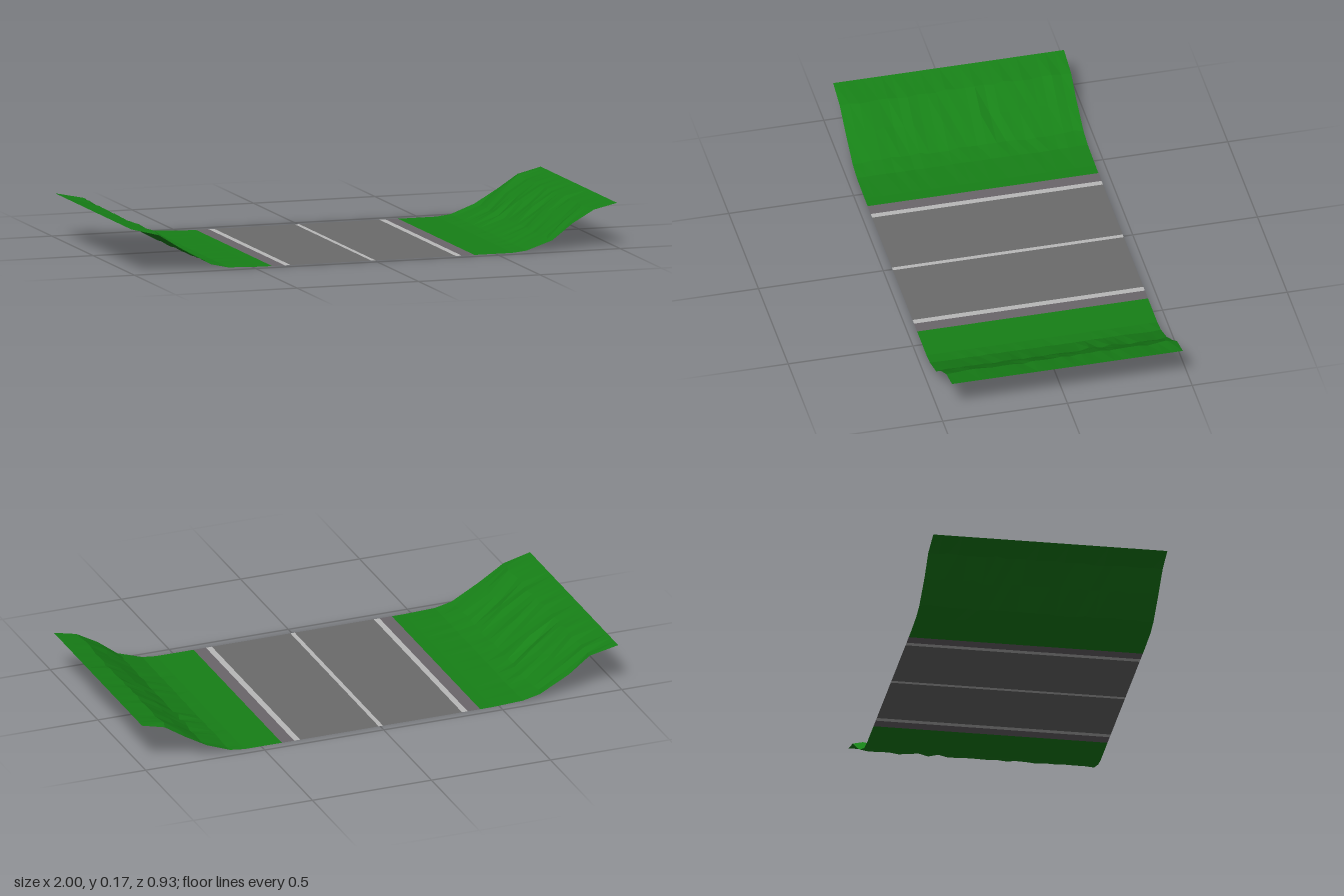
import * as THREE from 'three';

const LENGTH = 0.925;

// Small seeded generator for the uneven ground
function seeded(seed) {
  let s = seed;
  return () => {
    s = (s * 16807) % 2147483647;
    return s / 2147483647 - 0.5;
  };
}

// Sheet along z whose cross-section is a list of [x, y, unevenness]
function sheet(name, profile, color, rows = 1, seed = 1) {
  const n = profile.length;
  const rand = seeded(seed);
  const geo = new THREE.PlaneGeometry(1, LENGTH, n - 1, rows).rotateX(-Math.PI / 2);
  const pos = geo.attributes.position;
  for (let i = 0; i < pos.count; i++) {
    const [x, y, rough = 0] = profile[i % n];
    pos.setX(i, x + rand() * rough);
    pos.setY(i, Math.max(0, y + rand() * rough * 0.5));
  }
  geo.computeVertexNormals();
  const mesh = new THREE.Mesh(geo, new THREE.MeshStandardMaterial({
    color, flatShading: true, side: THREE.DoubleSide,
  }));
  mesh.name = name;
  return mesh;
}

export function createModel() {
  const group = new THREE.Group();
  group.name = 'roadSection';

  // Flat road: shoulders, painted lines and lanes side by side
  const asphalt = 0x6b6b6b, shoulder = 0x6a666a, paint = 0xb8b8b8;
  const strips = [
    ['rightShoulder', -0.42, -0.368, shoulder],
    ['rightEdgeLine', -0.368, -0.344, paint],
    ['rightLane', -0.344, -0.012, asphalt],
    ['centreLine', -0.012, 0.006, paint],
    ['leftLane', 0.006, 0.336, asphalt],
    ['leftEdgeLine', 0.336, 0.361, paint],
    ['leftShoulder', 0.361, 0.413, shoulder],
  ];
  for (const [name, x0, x1, color] of strips) {
    group.add(sheet(name, [[x0, 0], [x1, 0]], color));
  }

  // Grass banks rising on both sides
  const grass = 0x178017;
  group.add(sheet('rightBank', [
    [-1, 0.175], [-0.885, 0.148, 0.015], [-0.785, 0.083, 0.018],
    [-0.675, 0.021, 0.015], [-0.6, 0.005, 0.004], [-0.47, 0], [-0.42, 0],
  ], grass, 24, 17));
  group.add(sheet('leftBank', [
    [0.413, 0], [0.57, 0], [0.63, 0.006, 0.005], [0.73, 0.042, 0.012],
    [0.815, 0.1, 0.015], [0.9, 0.153, 0.012], [1, 0.175],
  ], grass, 24, 91));

  return group;
}
